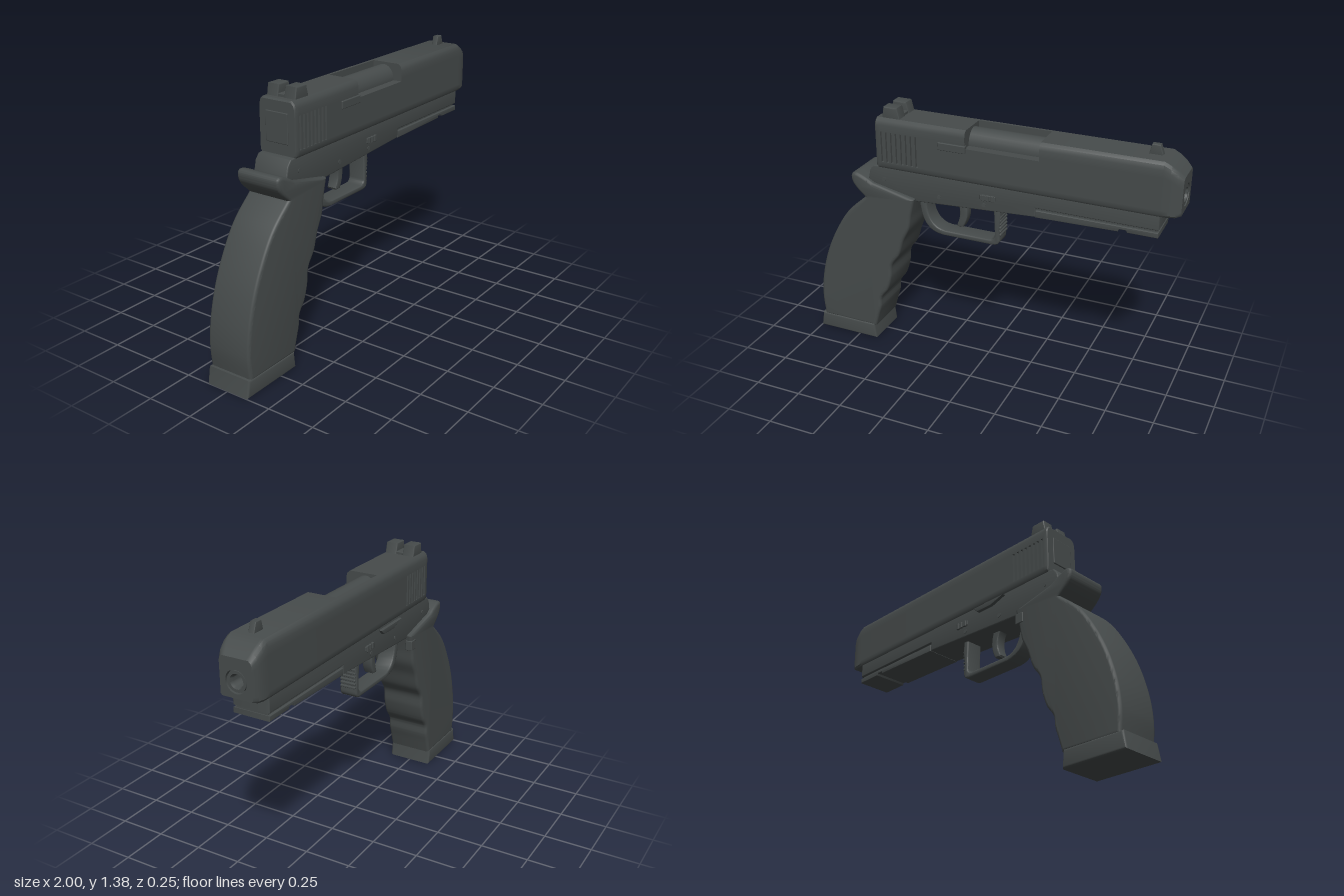
import * as THREE from 'three';
import { toCreasedNormals } from 'three/addons/utils/BufferGeometryUtils.js';
import { RoundedBoxGeometry } from 'three/addons/geometries/RoundedBoxGeometry.js';

const gunmetal = new THREE.MeshStandardMaterial({ color: 0x464b4b, side: THREE.DoubleSide });
gunmetal.name = 'gunmetal';

const v2 = (pts) => pts.map(([x, y]) => new THREE.Vector2(x, y));

// Side outline extruded across z, with rounded edges
function plate(shape, half, bevel, z = 0) {
  const g = new THREE.ExtrudeGeometry(shape, {
    depth: 2 * (half - bevel), bevelEnabled: bevel > 0, bevelSize: bevel, bevelThickness: bevel,
    bevelOffset: -bevel, bevelSegments: 3, curveSegments: 8,
  });
  g.translate(0, 0, z - (half - bevel));
  return toCreasedNormals(g, 0.65);
}

// Skin between rings of [x, y, z]; the first ring is capped
function loft(rings) {
  const pos = [];
  const [a, b, c] = [0, 1, 2].map(() => new THREE.Vector3());
  const tri = (p, q, r) => {
    a.fromArray(p); b.fromArray(q).sub(a); c.fromArray(r).sub(a);
    if (b.cross(c).length() > 1e-9) pos.push(...p, ...q, ...r);
  };
  for (let i = 0; i < rings.length - 1; i++) {
    const A = rings[i], B = rings[i + 1];
    A.forEach((p, j) => {
      const k = (j + 1) % A.length;
      tri(p, B[k], B[j]);
      tri(p, A[k], B[k]);
    });
  }
  const flat = rings[0].map((p) => new THREE.Vector2(p[2], p[1]));
  for (const [i, j, k] of THREE.ShapeUtils.triangulateShape(flat, [])) {
    tri(rings[0][i], rings[0][j], rings[0][k]);
  }
  const g = new THREE.BufferGeometry();
  g.setAttribute('position', new THREE.Float32BufferAttribute(pos, 3));
  return toCreasedNormals(g, 0.6);
}

// Slide cross-sections as [z, y]: one half, then its mirror image
const HW = 0.106, TOP = 1.32;
function halfSection(grooved) {
  const g = grooved ? 0.092 : HW;
  return [[0.098, 1.05], [HW, 1.062], [HW, 1.085], [g, 1.085], [g, 1.25], [HW, 1.25],
    [HW, 1.285], [0.1, 1.307], [0.085, TOP], [0.07, TOP]];
}
function section(kind) {
  const left = halfSection(kind === 'groove');
  const right = halfSection(kind === 'groove').map(([z, y]) => [-z, y]).reverse();
  if (kind === 'port') {
    for (let i = 4; i < 10; i++) left[i] = [[HW, HW, HW, 0.08, 0.04, -0.07][i - 4], 1.23];
  }
  return [...left, ...right];
}
const ring = (x, kind, s = 1, low = 1.05, high = TOP) =>
  section(kind).map(([z, y]) => [x, low + ((y - 1.05) / (TOP - 1.05)) * (high - low), z * s]);

export function createModel() {
  const model = new THREE.Group();
  const add = (name, geometry, x = 0, y = 0, z = 0) => {
    const m = new THREE.Mesh(geometry, gunmetal);
    m.name = name;
    m.position.set(x, y, z);
    model.add(m);
    return m;
  };
  const box = (name, x0, x1, y0, y1, z0, z1, r = 0.004) =>
    add(name, new RoundedBoxGeometry(x1 - x0, y1 - y0, z1 - z0, 2, r),
      (x0 + x1) / 2, (y0 + y1) / 2, (z0 + z1) / 2);
  const poly = (pts) => new THREE.Shape(v2(pts));

  // Slide with rear serrations, ejection port and tapered nose
  const rings = [ring(-0.585, '', 0.96, 1.055, 1.312), ring(-0.578, '')];
  for (let i = 0; i < 8; i++) {
    const x = -0.555 + i * 0.028;
    rings.push(ring(x, ''), ring(x, 'groove'), ring(x + 0.014, 'groove'), ring(x + 0.014, ''));
  }
  rings.push(ring(-0.085, ''), ring(-0.085, 'port'), ring(0.305, 'port'), ring(0.305, ''));
  rings.push(ring(0.905, ''), ring(0.94, '', 0.985, 1.05, 1.302), ring(0.975, '', 0.92, 1.053, 1.275));
  const nose = ring(1, '', 0.8, 1.062, 1.25);
  rings.push(nose);
  add('slide', loft(rings));

  // Nose face with the bore opening, and the barrel behind it
  const face = poly(nose.map((p) => [-p[2], p[1]]));
  face.holes.push(new THREE.Path().absarc(0, 1.14, 0.056, 0, Math.PI * 2, true));
  add('noseFace', new THREE.ShapeGeometry(face, 12).rotateY(Math.PI / 2), 1);
  const barrel = new THREE.LatheGeometry(
    v2([[0.056, 0], [0.056, -0.02], [0.05, -0.02], [0.05, -0.004], [0.036, -0.004], [0.03, -0.02], [0.03, -0.2], [0, -0.2]]), 24);
  add('barrel', toCreasedNormals(barrel.rotateZ(-Math.PI / 2), 0.6), 1, 1.14);
  const hood = new THREE.CylinderGeometry(0.064, 0.064, 0.388, 24).rotateZ(Math.PI / 2).scale(1, 1.2, 1);
  add('chamberHood', hood, 0.11, 1.232, -0.006);

  // Slide fittings
  box('extractor', -0.23, -0.08, 1.205, 1.245, 0.09, 0.115);
  box('rearPlate', -0.59, -0.57, 1.11, 1.26, -0.065, 0.065);
  const sight = [[-0.553, 1.315], [-0.453, 1.315], [-0.468, 1.376], [-0.543, 1.376]];
  for (const s of [-1, 1]) add('rearSight', plate(poly(sight), 0.033, 0.006, s * 0.051));
  box('rearSightBase', -0.548, -0.458, 1.31, 1.335, -0.08, 0.08);
  add('frontSight', plate(poly([[0.808, 1.31], [0.882, 1.31], [0.862, 1.368], [0.822, 1.368]]), 0.016, 0.004));

  // Frame, with an accessory rail under the front
  add('frame', plate(poly([[0.905, 0.975], [0.29, 0.975], [0.29, 0.928], [-0.37, 0.89], [-0.6, 0.945],
    [-0.645, 0.97], [-0.632, 1.025], [-0.61, 1.052], [-0.58, 1.056], [0.905, 1.056]]), 0.098, 0.006));
  box('railGroove', 0.28, 0.9, 0.955, 0.98, -0.085, 0.085);
  add('rail', plate(poly([[0.29, 0.926], [0.71, 0.934], [0.715, 0.947], [0.75, 0.947], [0.755, 0.936],
    [0.905, 0.936], [0.905, 0.963], [0.29, 0.963]]), 0.098, 0.003));

  // Grip with finger swells and a tang at the back
  const grip = new THREE.Shape();
  grip.moveTo(-0.97, 0.08);
  grip.lineTo(-0.64, 0.08);
  grip.splineThru(v2([[-0.62, 0.15], [-0.602, 0.21], [-0.595, 0.27], [-0.555, 0.33], [-0.53, 0.41],
    [-0.52, 0.49], [-0.475, 0.56], [-0.445, 0.65], [-0.408, 0.73], [-0.393, 0.81], [-0.37, 0.905]]));
  grip.lineTo(-0.61, 0.957);
  grip.splineThru(v2([[-0.66, 0.985], [-0.71, 1.003], [-0.735, 0.99], [-0.732, 0.95], [-0.705, 0.912], [-0.66, 0.872]]));
  grip.splineThru(v2([[-0.77, 0.77], [-0.85, 0.65], [-0.92, 0.5], [-0.965, 0.34], [-0.98, 0.2], [-0.97, 0.08]]));
  add('grip', plate(grip, 0.124, 0.016));
  add('magazineBase', plate(poly([[-1, 0], [-0.64, 0], [-0.65, 0.09], [-0.985, 0.09]]), 0.126, 0.012));

  // Trigger guard with a ridged front, and the trigger
  const guard = new THREE.Shape();
  guard.moveTo(-0.375, 0.9);
  guard.bezierCurveTo(-0.375, 0.77, -0.33, 0.698, -0.24, 0.698);
  guard.lineTo(0.04, 0.698);
  guard.quadraticCurveTo(0.082, 0.7, 0.08, 0.74);
  guard.lineTo(0.074, 0.79);
  guard.lineTo(0.084, 0.86);
  guard.lineTo(0.076, 0.93);
  guard.lineTo(0.046, 0.93);
  guard.lineTo(0.052, 0.76);
  guard.quadraticCurveTo(0.05, 0.726, 0.02, 0.725);
  guard.lineTo(-0.23, 0.725);
  guard.bezierCurveTo(-0.3, 0.73, -0.34, 0.79, -0.335, 0.9);
  add('triggerGuard', plate(guard, 0.048, 0.007));
  for (let i = 0; i < 6; i++) {
    const y = 0.755 + i * 0.02;
    box('guardRidge', 0.06, 0.087, y, y + 0.011, -0.044, 0.044, 0.003);
  }
  const trigger = new THREE.Shape();
  trigger.moveTo(-0.18, 0.92);
  trigger.quadraticCurveTo(-0.13, 0.85, -0.17, 0.765);
  trigger.lineTo(-0.165, 0.755);
  trigger.lineTo(-0.135, 0.758);
  trigger.quadraticCurveTo(-0.09, 0.83, -0.128, 0.92);
  add('trigger', plate(trigger, 0.028, 0.006));

  // Controls and pins
  add('slideStop', plate(poly([[-0.28, 1.04], [-0.06, 1.04], [-0.09, 1.012], [-0.19, 1.012]]), 0.011, 0.003, -0.104));
  box('magazineRelease', -0.425, -0.375, 0.82, 0.876, -0.128, -0.09);
  for (const s of [-1, 1]) {
    box('takedownLever', -0.005, 0.078, 0.972, 0.998, s * 0.1 - 0.005, s * 0.1 + 0.005, 0.003);
    for (let i = 0; i < 3; i++) {
      const x = 0.004 + i * 0.026;
      box('takedownRidge', x, x + 0.016, 0.968, 1.002, s * 0.104 - 0.006, s * 0.104 + 0.006, 0.003);
    }
    for (const [x, y] of [[-0.55, 0.985], [-0.235, 0.94], [0.015, 0.942]]) {
      add('pin', new THREE.CylinderGeometry(0.011, 0.011, 0.008, 12).rotateX(Math.PI / 2), x, y, s * 0.097);
    }
  }
  return model;
}
